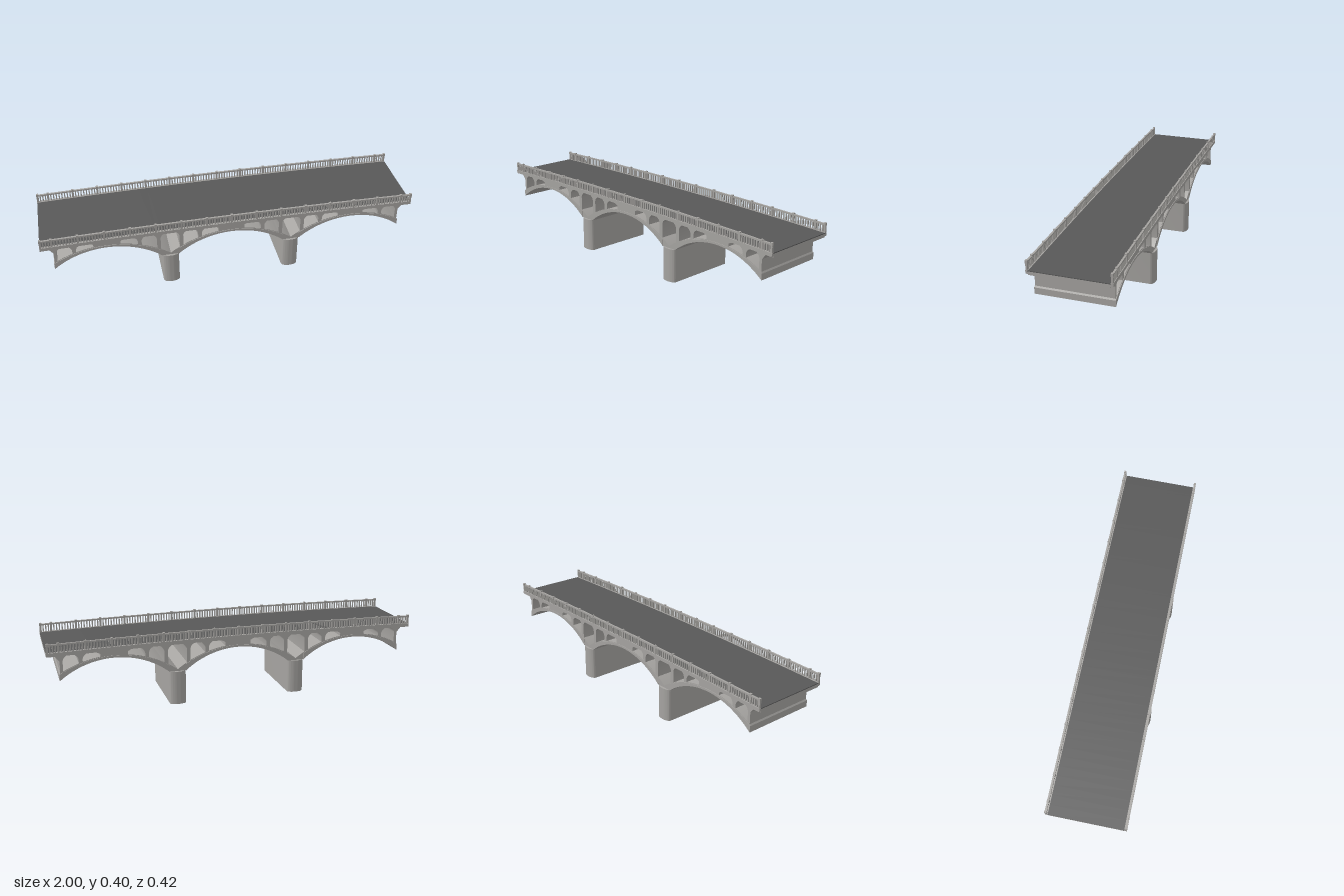
import * as THREE from 'three';
import { mergeGeometries, toCreasedNormals } from 'three/addons/utils/BufferGeometryUtils.js';

const SPAN = 0.66, PIER_HALF = 0.044, PIER_TOP = 0.178, HALF_WIDTH = 0.197;

// Gentle camber of the road, and the level of the deck's underside
const road = x => 0.337 + 0.013 * (1 - x * x);
const soffit = x => road(x) - 0.021;
// Distance from the nearest arch crown
const fromCrown = x => Math.abs(x - SPAN * Math.max(-1, Math.min(1, Math.round(x / SPAN))));
const arc = (crown, r, u) => crown - r + Math.sqrt(r * r - u * u);
const intrados = x => arc(0.285, 0.442, fromCrown(x));
const extrados = x => arc(0.3, 0.55, fromCrown(x));

// Points along y = f(x) from a to b
function along(f, a, b, n) {
  const pts = [];
  for (let i = 0; i <= n; i++) {
    const x = a + (b - a) * i / n;
    pts.push(new THREE.Vector2(x, f(x)));
  }
  return pts;
}

function extrude(shape, z0, z1) {
  const geo = new THREE.ExtrudeGeometry(shape, { depth: z1 - z0, bevelEnabled: false, curveSegments: 16 });
  geo.translate(0, 0, z0);
  return toCreasedNormals(geo, 0.5);
}

// Strip between two curves, extruded across z
function strip(low, high, a, b, z0, z1, n = 40) {
  return extrude(new THREE.Shape([...along(low, a, b, n), ...along(high, b, a, n)]), z0, z1);
}

// Spandrel opening: arch top below, flared corners at the deck above
function opening(a, b, flareA, flareB) {
  const v = (x, d) => new THREE.Vector2(x, soffit(x) - d);
  const pts = along(extrados, a, b, 12);
  if (flareB) pts.push(v(b, 0.028), v(b - 0.006, 0.014), v(b - 0.02, 0.002));
  else pts.push(v(b, 0.012), v(b - 0.02, 0.002));
  if (flareA) pts.push(v(a + 0.02, 0.002), v(a + 0.006, 0.014), v(a, 0.028));
  else pts.push(v(a + 0.02, 0.002), v(a, 0.012));
  return new THREE.Path(pts);
}

function box(w, h, d, x, y, z) {
  return new THREE.BoxGeometry(w, h, d).translate(x, y, z);
}

export function createModel() {
  const model = new THREE.Group();
  model.name = 'archBridge';
  const concrete = new THREE.MeshStandardMaterial({ color: 0xa5a3a0 });
  concrete.name = 'concrete';
  const asphalt = new THREE.MeshStandardMaterial({ color: 0x585858 });
  asphalt.name = 'asphalt';
  const add = (name, geo, mat = concrete) => {
    const mesh = new THREE.Mesh(geo, mat);
    mesh.name = name;
    model.add(mesh);
  };

  // Arches, cross walls and deck in one pierced profile
  const outline = [new THREE.Vector2(-1, 0.315), new THREE.Vector2(-0.957, 0.315),
    new THREE.Vector2(-0.945, 0.301), new THREE.Vector2(-0.935, 0.288),
    new THREE.Vector2(-0.935, 0.226), new THREE.Vector2(-0.94, 0.218)];
  const inner = SPAN / 2 - PIER_HALF;
  outline.push(...along(intrados, -0.94, -SPAN / 2 - PIER_HALF, 32));
  outline.push(...along(intrados, -inner, inner, 32));
  outline.push(...along(intrados, SPAN / 2 + PIER_HALF, 0.94, 32));
  outline.push(...outline.slice(0, 6).reverse().map(p => new THREE.Vector2(-p.x, p.y)));
  outline.push(...along(x => road(x) - 0.004, 1, -1, 40));
  const profile = new THREE.Shape(outline);
  for (const c of [-SPAN, 0, SPAN]) {
    profile.holes.push(
      opening(c - 0.26, c - 0.18, true, true), opening(c + 0.18, c + 0.26, true, true),
      opening(c - 0.16, c - 0.07, true, false), opening(c + 0.07, c + 0.16, false, true));
  }
  for (const c of [-SPAN / 2, SPAN / 2]) profile.holes.push(opening(c - 0.05, c + 0.05, true, true));
  add('archesAndDeck', extrude(profile, -HALF_WIDTH, HALF_WIDTH));

  // Road surface
  add('roadSurface', strip(x => road(x) - 0.004, road, -1, 1, -0.2, 0.2), asphalt);

  // Piers with rounded noses
  for (const c of [-SPAN / 2, SPAN / 2]) {
    const plan = new THREE.Shape();
    plan.moveTo(PIER_HALF, -0.188);
    plan.lineTo(PIER_HALF, 0.188);
    plan.absellipse(0, 0.188, PIER_HALF, 0.022, 0, Math.PI, false, 0);
    plan.lineTo(-PIER_HALF, -0.188);
    plan.absellipse(0, -0.188, PIER_HALF, 0.022, Math.PI, Math.PI * 2, false, 0);
    const geo = extrude(plan, 0, PIER_TOP + 0.002);
    geo.rotateX(-Math.PI / 2).translate(c, 0, 0);
    add('pier', geo);
  }

  for (const s of [-1, 1]) {
    const span = (z0, z1) => s > 0 ? [z0, z1] : [-z1, -z0];
    // Raised arch rings
    for (const c of [-SPAN, 0, SPAN]) {
      const a = Math.max(c - inner, -0.94), b = Math.min(c + inner, 0.94);
      add('archRing', strip(intrados, x => extrados(x) - 0.004, a, b, ...span(0.196, 0.2), 32));
    }
    // Cornice and handrail follow the camber
    add('cornice', strip(x => road(x) - 0.017, x => road(x) + 0.001, -1, 1, ...span(0.196, 0.21)));
    add('handrail', strip(x => road(x) + 0.037, x => road(x) + 0.045, -1, 1, ...span(0.199, 0.209)));

    // Posts with caps, and balusters between them
    const z = s * 0.204, step = 0.134, posts = [], balusters = [];
    const xs = [-0.994];
    for (let i = -7; i <= 7; i++) xs.push(i * step);
    xs.push(0.994);
    xs.forEach((x, i) => {
      const y = road(x);
      posts.push(box(0.011, 0.05, 0.009, x, y + 0.02, z));
      posts.push(box(0.012, 0.015, 0.012, x, y + 0.0425, z));
      if (i === xs.length - 1) return;
      const gap = xs[i + 1] - x, n = Math.round(gap / 0.015);
      for (let k = 1; k < n; k++) {
        const bx = x + gap * k / n;
        balusters.push(box(0.006, 0.04, 0.006, bx, road(bx) + 0.019, z));
      }
    });
    add('parapetPosts', mergeGeometries(posts));
    add('balusters', mergeGeometries(balusters));
  }
  return model;
}
